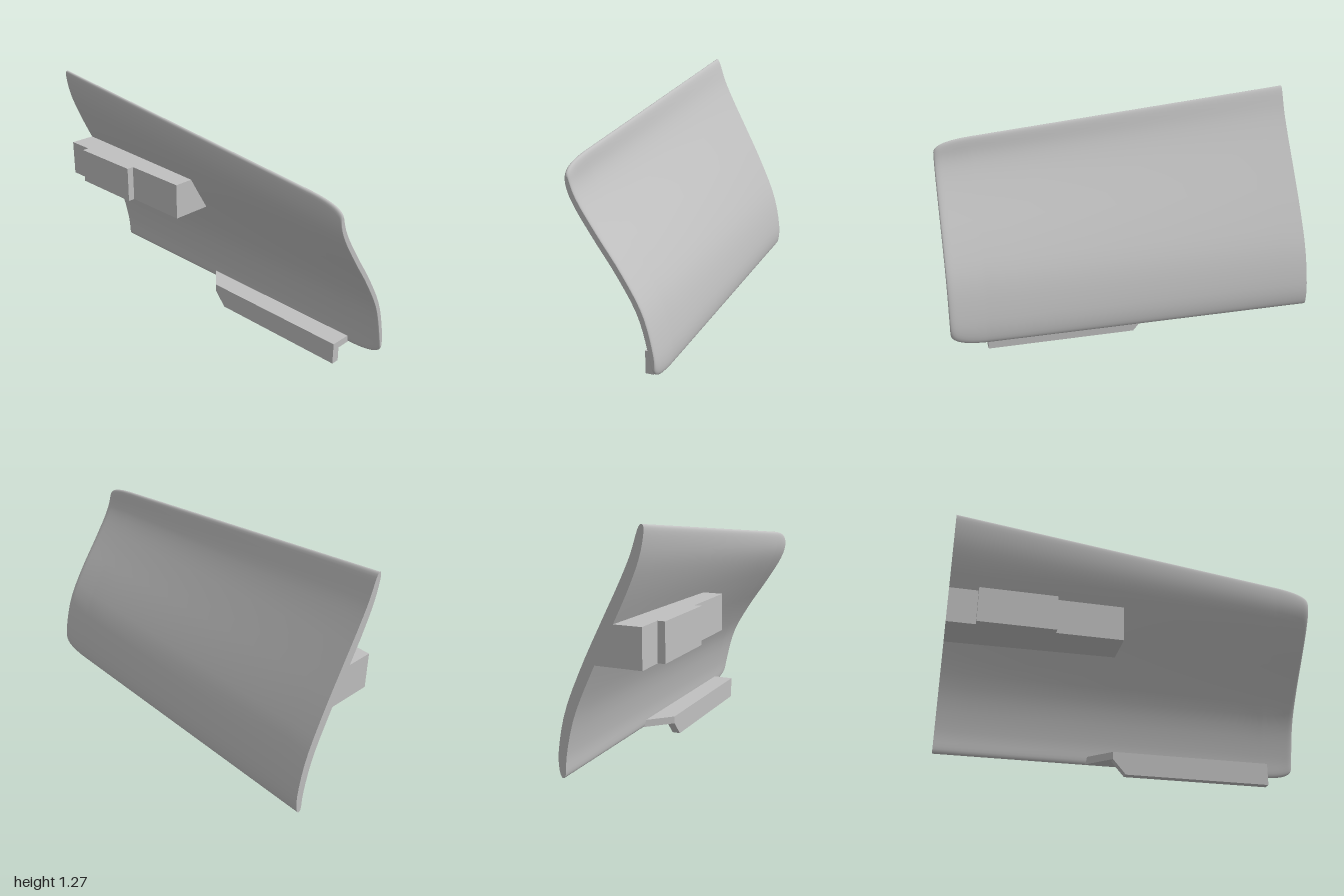
import * as THREE from 'three';

const grey = new THREE.MeshStandardMaterial({ color: 0xc0c0c0 });
grey.name = 'light grey';

const spline = pts => new THREE.SplineCurve(pts.map(p => new THREE.Vector2(...p)));

// Centre line of the sheet (x, y) at the front and back ends, bottom to top
const frontLine = spline([[0.213, 0.08], [0.203, 0.2], [0.15, 0.4], [0.05, 0.58],
  [-0.06, 0.74], [-0.15, 0.88], [-0.188, 0.97], [-0.195, 1.06]]);
const backLine = spline([[0.215, 0.08], [0.215, 0.2], [0.17, 0.4], [0.075, 0.62],
  [-0.03, 0.83], [-0.115, 1.0], [-0.175, 1.14], [-0.21, 1.275]]);

// Closed outline of the sheet's cross-section at depth z
const N = 32;
function section(z) {
  const f = (z + 1) / 2;
  const at = u => backLine.getPoint(u).lerp(frontLine.getPoint(u), f);
  const c = Math.max(0, (z - 0.8) / 0.2);
  const trim = 0.09 * (1 - Math.sqrt(Math.max(0, 1 - c * c)));   // rounded front corners
  const e = Math.max(0, (z - 0.97) / 0.03);
  const edge = 1 - 0.4 * (1 - Math.sqrt(Math.max(0, 1 - e * e))); // softened front edge
  const ring = [];
  for (let j = 0; j < 2 * N; j++) {
    const i = j <= N ? j : 2 * N - j;
    const s = (1 - Math.cos(Math.PI * i / N)) / 2;
    const u = trim + (1 - 2 * trim) * s;
    const p = at(u);
    const t = at(Math.min(1, u + 0.005)).sub(at(Math.max(0, u - 0.005))).normalize();
    const middle = Math.sin(Math.PI * s);
    const half = (0.018 + (0.01 - 0.008 * f) * middle) * edge
      * Math.sqrt(Math.max(0, 1 - Math.abs(2 * s - 1) ** 12));
    const side = j <= N ? 1 : -1;
    ring.push([p.x + side * t.y * half, p.y - side * t.x * half, z]);
  }
  return ring;
}

function panelGeometry() {
  const depths = [];
  for (let k = 0; k <= 12; k++) depths.push(-1 + 1.8 * k / 12);
  for (let k = 1; k <= 14; k++) depths.push(0.8 + 0.2 * Math.sin(Math.PI / 2 * k / 14));
  const rings = depths.map(section);
  const M = 2 * N, pos = [], index = [];
  const addRing = r => { const b = pos.length / 3; r.forEach(p => pos.push(...p)); return b; };
  rings.forEach(addRing);
  for (let k = 0; k < rings.length - 1; k++) {
    for (let j = 0; j < M; j++) {
      const a = k * M + j, b = k * M + (j + 1) % M;
      index.push(a, b, b + M, a, b + M, a + M);
    }
  }
  // Flat end faces with their own vertices
  for (const [ring, front] of [[rings[0], false], [rings[rings.length - 1], true]]) {
    const base = addRing(ring);
    for (let i = 0; i < N; i++) {
      const a = base + i, b = base + i + 1;
      const c = base + (M - i - 1) % M, d = base + (M - i) % M;
      if (front) index.push(a, b, c, a, c, d);
      else index.push(a, c, b, a, d, c);
    }
  }
  const g = new THREE.BufferGeometry();
  g.setAttribute('position', new THREE.Float32BufferAttribute(pos, 3));
  g.setIndex(index);
  g.computeVertexNormals();
  return g;
}

const extrude = (pts, depth) => new THREE.ExtrudeGeometry(
  new THREE.Shape(pts.map(p => new THREE.Vector2(...p))), { depth, bevelEnabled: false });

export function createModel() {
  const model = new THREE.Group();
  model.name = 'curvedPanel';
  const add = (name, geometry, parent = model) => {
    const mesh = new THREE.Mesh(geometry, grey);
    mesh.name = name;
    parent.add(mesh);
    return mesh;
  };

  // Curved sheet
  add('panel', panelGeometry());

  // Mounting block on the inner face, with a raised pad
  const block = new THREE.Group();
  block.name = 'upperBracket';
  model.add(block);
  add('bracketBlock', extrude([[-0.205, 0.64], [0.04, 0.64], [-0.055, 0.835], [-0.205, 0.835]], 0.92), block)
    .position.z = -1;
  const pad = add('bracketPad', new THREE.BoxGeometry(0.04, 0.195, 0.41), block);
  pad.position.set(-0.223, 0.7375, -0.645);

  // Angle bracket under the lower edge: shelf and downward flange
  const angle = new THREE.Group();
  angle.name = 'lowerBracket';
  model.add(angle);
  const shelf = extrude([[0.08, 0.8], [0.08, -0.07], [0.21, -0.2], [0.21, 0.8]], 0.04);
  shelf.rotateX(Math.PI / 2).translate(0, 0.12, 0);
  add('bracketShelf', shelf, angle);
  const flange = extrude([[0.8, 0], [0.8, 0.08], [-0.07, 0.08], [0, 0]], 0.045);
  flange.rotateY(-Math.PI / 2).translate(0.125, 0, 0);
  add('bracketFlange', flange, angle);

  return model;
}
